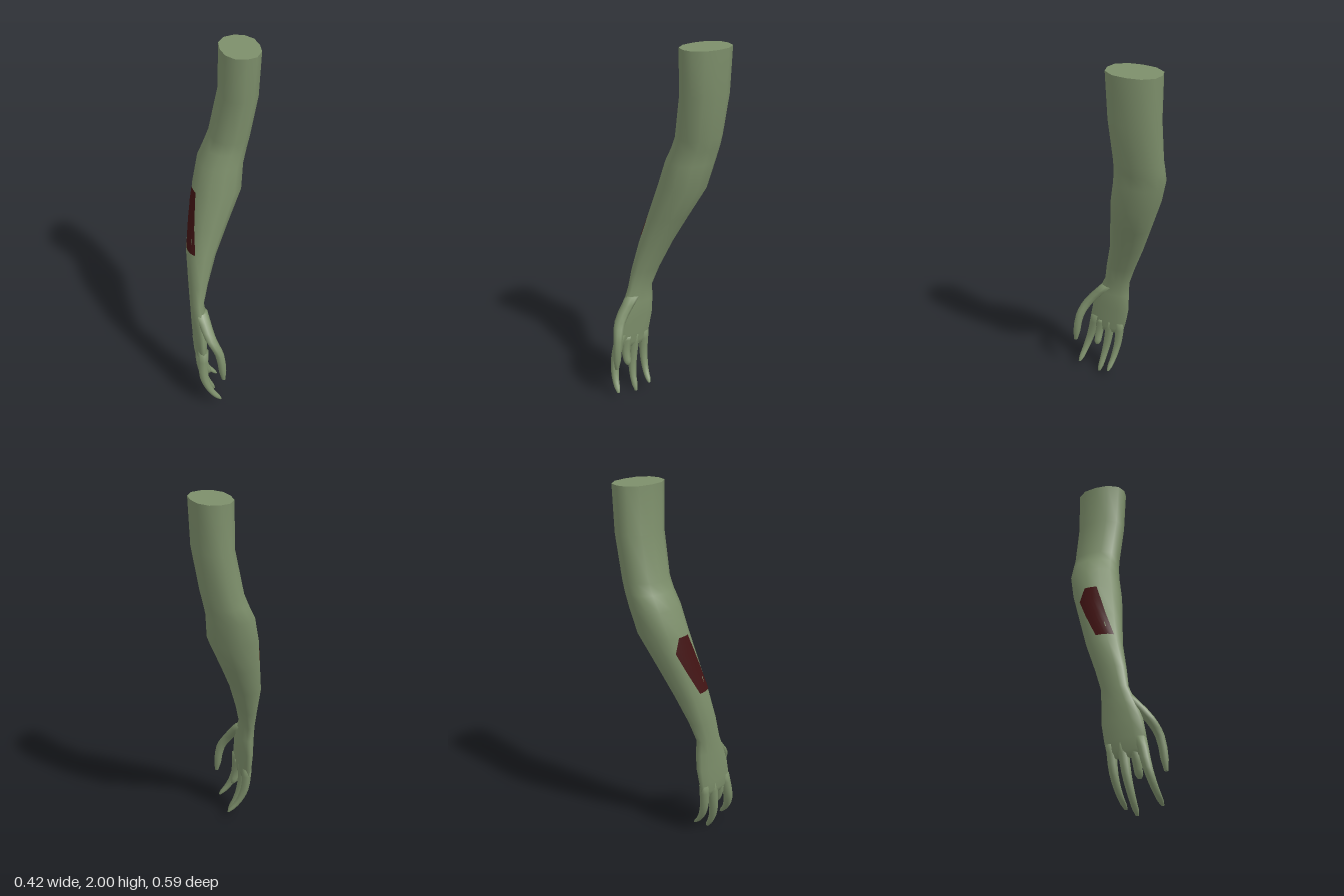
import * as THREE from 'three';

const SIDES = 12;
const skin = new THREE.MeshStandardMaterial({ color: 0x7d8f6b });
const flesh = new THREE.MeshStandardMaterial({ color: 0x421414, side: THREE.DoubleSide });

// Arm and palm sections, top to bottom: y, xMin, xMax, zMin, zMax
const ARM = [
  [2.00, 0.01, 0.21, -0.30, -0.02],
  [1.76, 0.005, 0.20, -0.295, -0.03],
  [1.53, -0.045, 0.16, -0.29, -0.04],
  [1.47, -0.07, 0.145, -0.29, -0.035],
  [1.39, -0.11, 0.125, -0.285, -0.02],
  [1.25, -0.147, 0.11, -0.25, 0.005],
  [1.07, -0.18, 0.025, -0.183, 0.038],
  [0.90, -0.21, -0.052, -0.12, 0.07],
  [0.74, -0.212, -0.11, -0.057, 0.11],
  [0.63, -0.212, -0.14, -0.02, 0.13],
  [0.55, -0.21, -0.132, -0.02, 0.165],
  [0.45, -0.208, -0.137, -0.018, 0.205],
  [0.36, -0.205, -0.145, -0.002, 0.222],
  [0.30, -0.20, -0.148, 0.012, 0.215],
  [0.27, -0.19, -0.155, 0.03, 0.19],
].map(([y, x0, x1, z0, z1]) => ({
  y, x: (x0 + x1) / 2, z: (z0 + z1) / 2, rx: (x1 - x0) / 2, rz: (z1 - z0) / 2,
}));

// Point on a slightly squared oval section
function ringPoint(s, a, grow = 1) {
  const c = Math.cos(a), n = Math.sin(a);
  const bulge = grow * (1 + 0.06 * Math.sin(2 * a) ** 2);
  return [s.x + s.rx * c * bulge, s.y, s.z + s.rz * n * bulge];
}

// Indexed grid of points, closed around when wrap is set
function gridGeometry(rows, wrap) {
  const n = rows[0].length, index = [];
  for (let i = 0; i < rows.length - 1; i++) {
    for (let j = 0; j < (wrap ? n : n - 1); j++) {
      const k = (j + 1) % n;
      const a = i * n + j, b = i * n + k, c = a + n, d = b + n;
      index.push(a, b, c, b, d, c);
    }
  }
  const g = new THREE.BufferGeometry();
  g.setAttribute('position', new THREE.Float32BufferAttribute(rows.flat(2), 3));
  g.setIndex(index);
  g.computeVertexNormals();
  return g;
}

function loft(sections, sides = SIDES) {
  return gridGeometry(sections.map((s) =>
    Array.from({ length: sides }, (_, j) => ringPoint(s, (j / sides) * Math.PI * 2))), true);
}

const shrink = (s, y = s.y) => ({ ...s, y, rx: 0.0005, rz: 0.0005 });

// Arm section at any height
function sectionAt(y) {
  let i = 0;
  while (i < ARM.length - 2 && ARM[i + 1].y > y) i++;
  const p = ARM[i], q = ARM[i + 1], t = (p.y - y) / (p.y - q.y), s = { y };
  for (const k of ['x', 'z', 'rx', 'rz']) s[k] = THREE.MathUtils.lerp(p[k], q[k], t);
  return s;
}

// Tapered finger through a few points, rounded at the tip
function finger(points, r0, r1) {
  const curve = new THREE.CatmullRomCurve3(points.map((p) => new THREE.Vector3(...p)));
  const sections = [];
  for (let i = 0; i <= 9; i++) {
    const t = i / 9, p = curve.getPoint(t);
    const r = THREE.MathUtils.lerp(r0, r1, t) * (i === 9 ? 0.55 : 1);
    sections.push({ x: p.x, y: p.y, z: p.z, rx: r, rz: r });
  }
  sections.unshift(shrink(sections[0]));
  sections.push(shrink(sections[sections.length - 1]));
  return loft(sections, 8);
}

export function createModel() {
  const model = new THREE.Group();
  const add = (name, geometry, material = skin) => {
    const mesh = new THREE.Mesh(geometry, material);
    mesh.name = name;
    model.add(mesh);
  };

  // Upper arm, forearm and palm in one skin, with a flat cut at the top
  add('armAndPalm', loft([...ARM, shrink(ARM[ARM.length - 1], 0.265)]));
  add('shoulderCap', loft([shrink(ARM[0]), ARM[0]]));

  // Open wound on the outer forearm: y, start and end angle in degrees
  const wound = [[1.25, 157, 187], [1.17, 152, 210], [1.07, 145, 202], [0.93, 128, 184]];
  add('forearmWound', gridGeometry(wound.map(([y, a0, a1]) =>
    Array.from({ length: 7 }, (_, j) => ringPoint(
      sectionAt(y), THREE.MathUtils.degToRad(a0 + (a1 - a0) * j / 6), 1.02))), false), flesh);

  // Fingers curl inward; the middle one is a stump
  add('thumb', finger([[-0.165, 0.59, 0.11], [-0.135, 0.47, 0.215],
    [-0.095, 0.38, 0.258], [-0.078, 0.21, 0.28]], 0.036, 0.019));
  add('indexFinger', finger([[-0.172, 0.36, 0.19], [-0.178, 0.2, 0.228],
    [-0.148, 0.11, 0.25], [-0.095, 0.04, 0.265]], 0.03, 0.015));
  add('middleFingerStump', finger([[-0.172, 0.34, 0.15], [-0.165, 0.25, 0.165],
    [-0.14, 0.17, 0.168]], 0.028, 0.02));
  add('ringFinger', finger([[-0.174, 0.34, 0.095], [-0.172, 0.19, 0.115],
    [-0.15, 0.09, 0.13], [-0.105, 0.002, 0.14]], 0.029, 0.015));
  add('littleFinger', finger([[-0.174, 0.34, 0.035], [-0.165, 0.2, 0.045],
    [-0.13, 0.11, 0.057], [-0.075, 0.045, 0.068]], 0.027, 0.014));
  return model;
}
